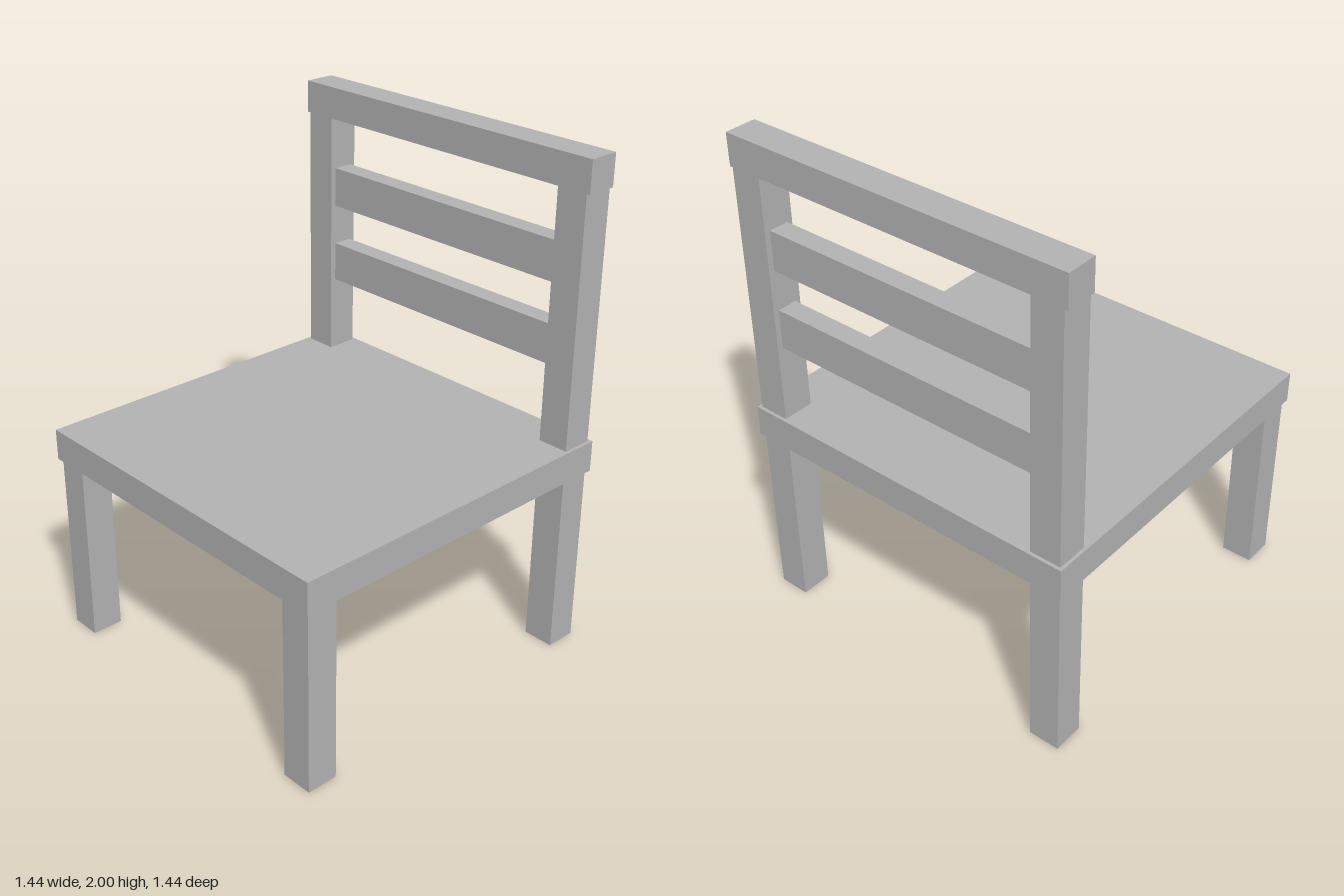
import * as THREE from 'three';

export function createModel() {
  const chair = new THREE.Group();
  chair.name = 'chair';
  const grey = new THREE.MeshStandardMaterial({ color: 0xb2b2b2 });
  grey.name = 'plain grey';

  // Box of given size, standing on height y
  function addBox(name, w, h, d, x, y, z) {
    const mesh = new THREE.Mesh(new THREE.BoxGeometry(w, h, d), grey);
    mesh.name = name;
    mesh.position.set(x, y + h / 2, z);
    chair.add(mesh);
  }

  const post = 0.127;      // leg and post thickness
  const inset = 0.645;     // leg centre from the middle
  const seatBottom = 0.747;
  const seatTop = 0.873;
  const railBottom = 1.873;

  // Seat
  addBox('seat', 1.444, seatTop - seatBottom, 1.444, 0, seatBottom, 0);

  // Legs and back posts
  for (const [side, s] of [['left', 1], ['right', -1]]) {
    addBox(side + 'FrontLeg', post, seatBottom, post, s * inset, 0, inset);
    addBox(side + 'BackLeg', post, seatBottom, post, s * inset, 0, -inset);
    addBox(side + 'BackPost', post, railBottom - seatTop, post, s * inset, seatTop, -inset);
  }

  // Top rail, flush with the posts front and back
  addBox('topRail', 1.444, 2 - railBottom, post, 0, railBottom, -inset);

  // Thinner slats between the posts
  const slatWidth = 2 * inset - post;
  addBox('lowerSlat', slatWidth, 0.16, 0.08, 0, 1.18, -inset);
  addBox('upperSlat', slatWidth, 0.16, 0.08, 0, 1.503, -inset);

  return chair;
}
